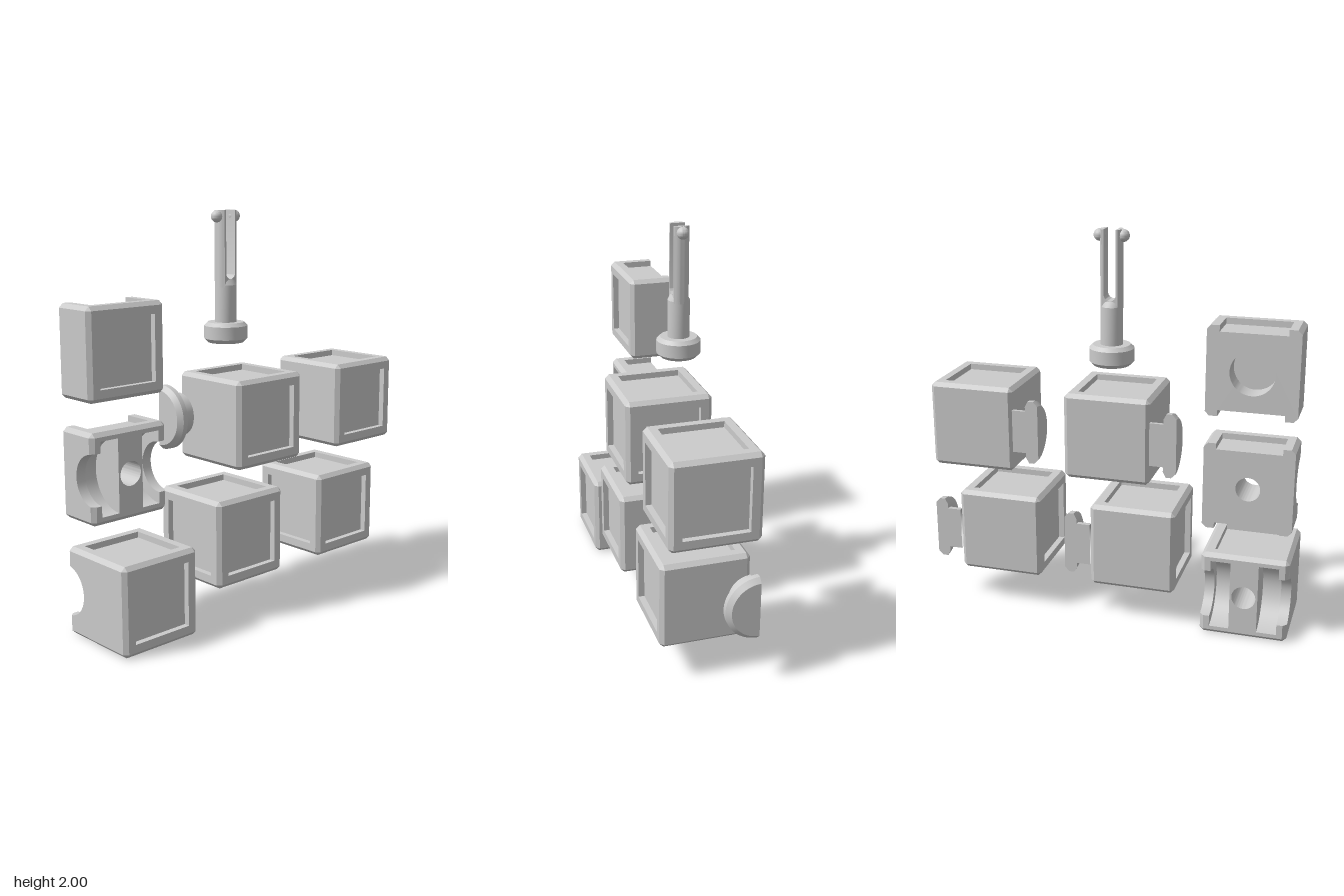
import * as THREE from 'three';
import { toCreasedNormals } from 'three/addons/utils/BufferGeometryUtils.js';

const H = 0.22;      // half side of a cube
const C = 0.02;      // edge chamfer
const P = 0.16;      // half side of a sunken panel
const F = 0.19;      // distance of the panel floor from the centre
const HALF = Math.PI / 2;
const material = new THREE.MeshStandardMaterial({ color: 0xcccccc, side: THREE.DoubleSide });

function add(parent, name, geometry) {
  const mesh = new THREE.Mesh(toCreasedNormals(geometry, 0.5), material);
  mesh.name = name;
  parent.add(mesh);
  return mesh;
}

function group(parent, name, x, y, z) {
  const g = new THREE.Group();
  g.name = name;
  g.position.set(x, y, z);
  parent.add(g);
  return g;
}

const polygon = (pts) => new THREE.Shape(pts.map(([x, y]) => new THREE.Vector2(x, y)));
const rect = (w, h) => polygon([[-w, -h], [w, -h], [w, h], [-w, h]]);

function withHole(shape, r) {
  if (r) shape.holes.push(new THREE.Path().absarc(0, 0, r, 0, Math.PI * 2, true));
  return shape;
}

// Square outline with chamfered corners, optionally notched at top and bottom
function outline(notched) {
  const a = H - C;
  const side = notched ? [[-P, H], [-P, F], [P, F], [P, H]] : [];
  const top = [...side].reverse();
  const bottom = side.map(([x, y]) => [x, -y]);
  return polygon([[-a, -H], ...bottom, [a, -H], [H, -a], [H, a], [a, H], ...top, [-a, H], [-H, a], [-H, -a]]);
}

// Slab from z0 to z1; everything beyond H - C is drawn in at 45 degrees
function slab(shape, z0, z1) {
  const g = new THREE.ExtrudeGeometry(shape, {
    depth: z1 - z0, steps: Math.max(1, Math.round((z1 - z0) / 0.01)), bevelEnabled: false, curveSegments: 32,
  });
  g.translate(0, 0, z0);
  const p = g.attributes.position;
  for (let i = 0; i < p.count; i++) {
    const lim = H - Math.max(0, p.getZ(i) - (H - C));
    p.setX(i, THREE.MathUtils.clamp(p.getX(i), -lim, lim));
    p.setY(i, THREE.MathUtils.clamp(p.getY(i), -lim, lim));
  }
  return g;
}

// Chamfered face plate, plain or with a sunken panel
function plate(panel) {
  const shape = outline(false);
  if (panel) shape.holes.push(new THREE.Path([[-P, -P], [-P, P], [P, P], [P, -P]].map(([x, y]) => new THREE.Vector2(x, y))));
  return slab(shape, F, H);
}

// Half cube: cut plane at z = 0 with a blind bore, panelled face at z = H
function panelHalf(parent, boreRadius, boreDepth) {
  add(parent, 'boredLayer', slab(withHole(outline(true), boreRadius), 0, boreDepth));
  add(parent, 'notchedLayer', slab(outline(true), boreDepth, P));
  add(parent, 'panelFloor', slab(outline(false), P, F));
  add(parent, 'panelFrame', plate(true));
}

// Cross-section (z, y) of the socket half, with a half-round channel in its face
function socketSection(r, notched) {
  const a = H - C;
  const pts = notched ? [[0, -F], [P, -F], [P, -H]] : [[0, -H]];
  pts.push([a, -H], [H, -a]);
  const n = 28;
  for (let i = 0; i <= n; i++) {
    const t = -HALF + Math.PI * i / n;
    pts.push([H - r * Math.cos(t), r * Math.sin(t)]);
  }
  pts.push([H, a], [a, H]);
  pts.push(...(notched ? [[P, H], [P, F], [0, F]] : [[0, H]]));
  return polygon(pts);
}

// Half cube: cut plane at z = 0, two hinge sockets in the face at z = H
function socketHalf(parent) {
  const slices = [
    ['channel', 0.18, true, 0.07, P],
    ['channelEnd', 0.18, false, P, 0.17],
    ['socketLip', 0.125, false, 0.17, H],
  ];
  for (const [name, r, notched, a, b] of slices) {
    for (const side of [1, -1]) {
      const g = slab(socketSection(r, notched), a, b).rotateY(-HALF);
      if (side > 0) g.rotateZ(Math.PI);
      add(parent, name, g);
    }
  }
  // Middle wall with the pin hole
  add(parent, 'middleWall', slab(withHole(rect(0.07, F), 0.06), 0, P));
  add(parent, 'middleWallFace', slab(withHole(rect(0.07, H), 0.06), P, H));
}

// Half-round knob on a neck, pointing to side * x, flat towards -z
function knob(parent, side) {
  const pts = [[0.11, 0], [0.11, 0.07], [0.135, 0.07], [0.163, 0.085], [0.163, 0.112], [0.14, 0.135], [0, 0.135]];
  const round = new THREE.LatheGeometry(pts.map(([r, y]) => new THREE.Vector2(r, y)), 32, -HALF, Math.PI);
  const flat = new THREE.ShapeGeometry(polygon([...pts, ...pts.slice(0, -1).reverse().map(([r, y]) => [-r, y])]));
  const g = group(parent, 'hingeKnob', side * H, 0, -H);
  g.rotation.z = -side * HALF;
  add(g, 'knobRound', round);
  add(g, 'knobFlat', flat);
}

// Full cube: panels on all sides but the back and the knob side
function hingeCube(parent, x, y, side) {
  const g = group(parent, 'hingeCube', x, y, 0);
  add(g, 'core', new THREE.BoxGeometry(2 * F, 2 * F, 2 * F));
  add(g, 'frontPanel', plate(true));
  add(g, 'backFace', plate(false).rotateY(Math.PI));
  add(g, 'topPanel', plate(true).rotateX(-HALF));
  add(g, 'bottomPanel', plate(true).rotateX(HALF));
  add(g, 'leftFace', plate(side < 0).rotateY(HALF));
  add(g, 'rightFace', plate(side > 0).rotateY(-HALF));
  knob(g, side);
}

// Snap pin: chamfered head, round stem, flattened split end with catches
function snapPin(parent) {
  const g = group(parent, 'snapPin', 0, 1.34, -0.11);
  const head = [[0, 0], [0.09, 0], [0.11, 0.02], [0.11, 0.085], [0.092, 0.103], [0, 0.103]];
  add(g, 'pinHead', new THREE.LatheGeometry(head.map(([r, y]) => new THREE.Vector2(r, y)), 40));
  const r = 0.055;
  add(g, 'pinStem', new THREE.CylinderGeometry(r, r, 0.19, 32).translate(0, 0.195, 0));
  const taper = new THREE.CylinderGeometry(r, r, 0.03, 32);
  const tp = taper.attributes.position;
  for (let i = 0; i < tp.count; i++) if (tp.getY(i) > 0) tp.setZ(i, tp.getZ(i) * 0.68);
  add(g, 'pinTaper', taper.translate(0, 0.305, 0));

  const s = 0.03, top = 0.66;
  const fork = new THREE.Shape();
  fork.moveTo(-r, 0.28);
  fork.lineTo(r, 0.28);
  fork.lineTo(r, top);
  fork.lineTo(s, top);
  fork.lineTo(s, 0.35);
  fork.absarc(0, 0.35, s, 0, -Math.PI, true);
  fork.lineTo(-s, top);
  fork.lineTo(-r, top);
  const geo = new THREE.ExtrudeGeometry(fork, { depth: 0.075, steps: 10, bevelEnabled: false, curveSegments: 16 });
  geo.translate(0, 0, -0.0375);
  const p = geo.attributes.position;
  for (let i = 0; i < p.count; i++) {
    const lim = Math.sqrt(r * r - p.getZ(i) ** 2);
    p.setX(i, THREE.MathUtils.clamp(p.getX(i), -lim, lim));
  }
  add(g, 'pinFork', geo);
  for (const side of [1, -1]) {
    add(g, 'pinCatch', new THREE.SphereGeometry(0.03, 20, 14).translate(side * 0.058, 0.63, 0));
  }
}

export function createModel() {
  const model = new THREE.Group();
  model.name = 'hingedCubeKit';

  // Left column: cap half, socket half, and a full socket cube
  panelHalf(group(model, 'capHalf', -0.71, 1.377, -H), 0.108, 0.11);
  socketHalf(group(model, 'socketHalf', -0.71, 0.8, -H));
  const cube = group(model, 'socketCube', -0.71, H, 0);
  panelHalf(cube, 0.06, 0.12);
  const back = group(cube, 'socketBack', 0, 0, 0);
  back.rotation.x = Math.PI;
  socketHalf(back);

  // Four cubes with hinge knobs
  hingeCube(model, 0, 0.98, -1);
  hingeCube(model, 0.71, 0.98, -1);
  hingeCube(model, -0.133, 0.405, 1);
  hingeCube(model, 0.577, 0.405, 1);

  snapPin(model);
  return model;
}
